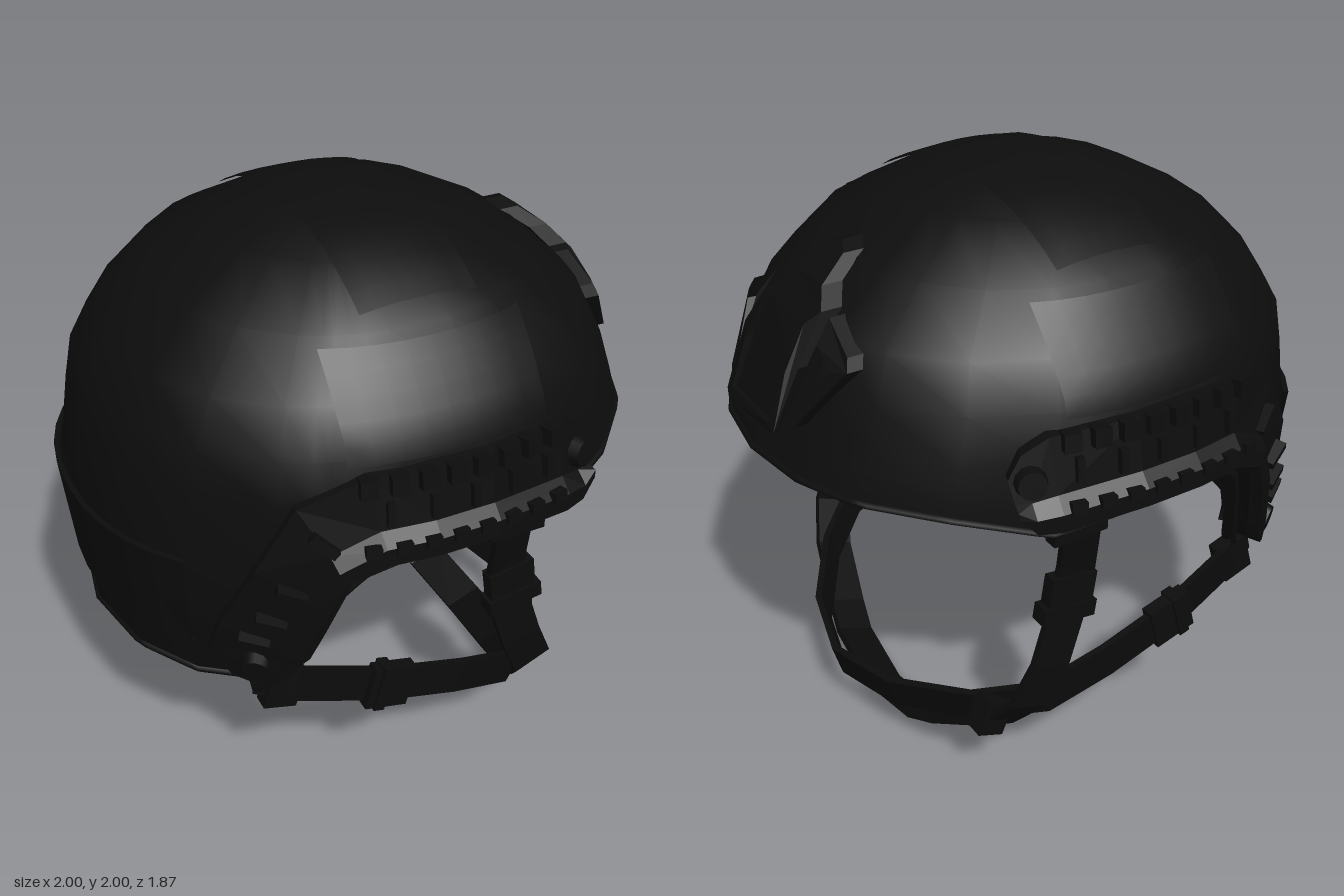
import * as THREE from 'three';

const V = (x, y, z) => new THREE.Vector3(x, y, z);
const mat = (name, color) => {
  const m = new THREE.MeshStandardMaterial({ color, side: THREE.DoubleSide });
  m.name = name;
  return m;
};

// Shell radii by height: front (+x), back (-x) and sides (z), as [y, radius]
const FRONT = [[0.5, 0.99], [1.21, 0.99], [1.35, 0.94], [1.5, 0.88], [1.64, 0.81], [1.75, 0.70], [1.84, 0.57], [1.92, 0.40], [1.98, 0.18], [2, 0]];
const BACK = [[0.5, 0.93], [0.62, 0.935], [0.76, 0.945], [1.13, 0.98], [1.5, 0.9], [1.64, 0.81], [1.75, 0.73], [1.84, 0.59], [1.91, 0.46], [1.98, 0.23], [2, 0]];
const SIDE = [[0.5, 0.70], [0.6, 0.74], [0.7, 0.78], [0.9, 0.82], [1.1, 0.85], [1.2, 0.85], [1.52, 0.82], [1.64, 0.745], [1.8, 0.62], [1.88, 0.49], [1.95, 0.33], [1.98, 0.2], [2, 0]];
// Rim height by angle from the face round to the nape
const RIM = [[0, 1.21], [16, 1.21], [31, 1.2], [51, 1.18], [70, 1.1], [85, 1.13], [100, 1.13], [106, 1.1], [110, 1.03], [114, 0.85], [117, 0.72], [124, 0.61], [142, 0.61], [160, 0.62], [180, 0.62]];
const P = 2.2;

function lerpTable(table, t) {
  if (t <= table[0][0]) return table[0][1];
  for (let i = 1; i < table.length; i++) {
    const [a, va] = table[i - 1], [b, vb] = table[i];
    if (t <= b) return va + (vb - va) * (t - a) / (b - a);
  }
  return table[table.length - 1][1];
}
const radX = (x, y) => lerpTable(x >= 0 ? FRONT : BACK, y);
const radZ = (y) => lerpTable(SIDE, y);
const rest = (t) => Math.pow(Math.max(0, 1 - Math.pow(Math.abs(t), P)), 1 / P);
const zAt = (x, y) => radZ(y) * rest(x / radX(x, y));
const xAt = (y, z) => lerpTable(FRONT, y) * rest(z / radZ(y));

// Point on the shell at an angle, moved outward by off
function polar(deg, y, off = 0) {
  const c = Math.cos(deg * Math.PI / 180), s = Math.sin(deg * Math.PI / 180);
  const pw = (v) => Math.sign(v) * Math.pow(Math.abs(v), 2 / P);
  return V(Math.max(0, radX(c, y) + off) * pw(c), y, Math.max(0, radZ(y) + off) * pw(s));
}

// Outward direction of the shell
function normalAt(p) {
  const f = (x, y, z) => Math.pow(Math.abs(x / radX(x, y)), P) + Math.pow(Math.abs(z / radZ(y)), P);
  const e = 0.02;
  return V(f(p.x + e, p.y, p.z) - f(p.x - e, p.y, p.z), f(p.x, p.y + e, p.z) - f(p.x, p.y - e, p.z),
    f(p.x, p.y, p.z + e) - f(p.x, p.y, p.z - e)).normalize();
}
function onSide(x, y, side, off) {
  const p = V(x, y, side * zAt(x, y));
  return p.addScaledVector(normalAt(p), off);
}

// Surface through rows of points
function grid(rows, flat = false) {
  const n = rows[0].length, pos = [], idx = [];
  rows.forEach((r) => r.forEach((p) => pos.push(p.x, p.y, p.z)));
  for (let i = 0; i < rows.length - 1; i++) for (let j = 0; j < n - 1; j++) {
    const a = i * n + j, b = a + n;
    idx.push(a, b, a + 1, b, b + 1, a + 1);
  }
  let g = new THREE.BufferGeometry();
  g.setAttribute('position', new THREE.Float32BufferAttribute(pos, 3));
  g.setIndex(idx);
  if (flat) g = g.toNonIndexed();
  g.computeVertexNormals();
  return g;
}
const steps = (a, b, n) => Array.from({ length: n + 1 }, (_, i) => a + (b - a) * i / n);

export function createModel() {
  const model = new THREE.Group();
  const shellMat = mat('shell black', 0x0d0d0d);
  const fitMat = mat('fitting black', 0x0c0c0c);
  const strapMat = mat('strap black', 0x0b0b0b);
  const add = (name, geo, m) => {
    const mesh = new THREE.Mesh(geo, m);
    mesh.name = name;
    model.add(mesh);
    return mesh;
  };

  // Shell: outer skin, inner skin, edge and trim
  const cols = [...RIM, ...RIM.slice(0, -1).reverse().map(([d, y]) => [360 - d, y])];
  const upper = [2, 1.98, 1.92, 1.8, 1.64, 1.5, 1.35];
  const skin = (off) => {
    const rows = upper.map((y) => cols.map(([d]) => {
      const p = polar(d, y, off);
      p.y += off;
      return p;
    }));
    for (const t of [0.35, 0.7, 1]) rows.push(cols.map(([d, ry]) => polar(d, 1.35 + (ry - 1.35) * t, off)));
    return rows;
  };
  const outer = skin(0), inner = skin(-0.04);
  add('shell', grid(outer), shellMat);
  add('shellLining', grid(inner), shellMat);
  add('shellEdge', grid([outer.at(-1), inner.at(-1)]), shellMat);
  const rimPath = new THREE.CurvePath();
  const rim = outer.at(-1);
  for (let i = 1; i < rim.length; i++) rimPath.add(new THREE.LineCurve3(rim[i - 1], rim[i]));
  add('rimTrim', new THREE.TubeGeometry(rimPath, 120, 0.012, 6, false), fitMat);

  // Raised band round the nape and padded band inside it
  const band = (name, d0, d1, y0, y1, off, back) => add(name, grid(
    [[y1, back], [y1, off], [(y0 + y1) / 2, off], [y0, off], [y0, back]].map(([y, o]) =>
      steps(d0, d1, 10).map((d) => polar(d, y, o))), true), fitMat);
  band('napeBand', 142, 218, 0.77, 1.13, 0.018, 0);
  band('innerBand', 135, 225, 0.6, 0.74, -0.1, -0.04);

  // Fit dial and its brackets
  const dial = add('fitDial', new THREE.CylinderGeometry(0.11, 0.11, 0.1, 16), fitMat);
  dial.position.set(-0.78, 0.64, 0);
  dial.rotation.z = Math.PI / 2 - 0.15;
  for (const s of [1, -1]) {
    const b = add('dialBracket', new THREE.BoxGeometry(0.04, 0.2, 0.18), fitMat);
    b.position.set(-0.79, 0.69, s * 0.27);
    b.rotation.x = s * 0.25;
  }

  // Fabric panels over the crown and sides
  const topY = (x, z) => {
    let lo = 1.5, hi = 2;
    for (let i = 0; i < 25; i++) {
      const m = (lo + hi) / 2;
      if (radZ(m) > 0 && Math.abs(x) < radX(x, m) && zAt(x, m) > Math.abs(z)) lo = m; else hi = m;
    }
    return lo;
  };
  add('crownPanel', grid(steps(-0.2, 0.2, 6).map((x) =>
    steps(-0.55, 0.55, 16).map((z) => V(x, topY(x, z) + 0.007, z)))), shellMat);
  for (const s of [1, -1]) add('sidePanel', grid(steps(1.48, 1.77, 5).map((y) =>
    steps(-0.35, 0.32, 8).map((x) => onSide(x, y, s, 0.01)))), shellMat);

  // Front mount: outlines in (z, y) bent onto the brow
  const mount = (name, pts, off, hole) => {
    const toVec = (a) => a.map(([x, y]) => new THREE.Vector2(x, y));
    const shape = new THREE.Shape(toVec(pts));
    if (hole) shape.holes.push(new THREE.Path(toVec(hole)));
    const g = new THREE.ExtrudeGeometry(shape, { depth: 1, steps: 1, bevelEnabled: false });
    const p = g.attributes.position;
    for (let i = 0; i < p.count; i++) {
      const z = -p.getX(i), y = p.getY(i);
      p.setXYZ(i, xAt(y, z) + (p.getZ(i) > 0.5 ? off : -0.01), y, z);
    }
    g.computeVertexNormals();
    add(name, g, fitMat);
  };
  mount('mountFrame', [[-0.18, 1.34], [-0.14, 1.32], [0.14, 1.32], [0.18, 1.34], [0.2, 1.55], [0.17, 1.7], [0.1, 1.75], [0.06, 1.82], [0, 1.84], [-0.06, 1.82], [-0.1, 1.75], [-0.17, 1.7], [-0.2, 1.55]], 0.06,
    [[-0.14, 1.36], [0.14, 1.36], [0.15, 1.52], [0.14, 1.66], [-0.14, 1.66], [-0.15, 1.52]]);
  mount('mountPlate', [[-0.15, 1.35], [0.15, 1.35], [0.16, 1.52], [0.15, 1.67], [-0.15, 1.67], [-0.16, 1.52]], 0.045);
  for (const s of [1, -1]) mount('mountWing', [[0.18, 1.36], [0.24, 1.38], [0.36, 1.58], [0.34, 1.62], [0.2, 1.69]].map(([x, y]) => [s * x, y]), 0.045,
    [[0.21, 1.43], [0.31, 1.57], [0.22, 1.62]].map(([x, y]) => [s * x, y]));

  // Side rails, with teeth, slots and screws
  const railTop = [[0.5, 1.32], [0.46, 1.4], [0.38, 1.45], [0.1, 1.46], [-0.1, 1.46], [-0.3, 1.46], [-0.5, 1.37], [-0.62, 1.15], [-0.71, 0.9], [-0.73, 0.76], [-0.66, 0.66]];
  const railLow = [[0.48, 1.2], [0.43, 1.14], [0.36, 1.13], [0.1, 1.15], [-0.1, 1.15], [-0.25, 1.15], [-0.36, 1.1], [-0.4, 1], [-0.46, 0.8], [-0.49, 0.72], [-0.58, 0.64]];
  const section = [[0, -0.01], [0.03, 0.03], [0.6, 0.04], [0.75, 0.075], [0.92, 0.075], [1, 0.04], [1, -0.01]];
  for (const s of [1, -1]) {
    add('sideRail', grid(section.map(([t, off]) => railTop.map(([x, y], i) =>
      onSide(x + (railLow[i][0] - x) * t, y + (railLow[i][1] - y) * t, s, off))), true), fitMat);
    const fit = (name, geo, x, y, off, turn = 0) => {
      const m = add(name, geo, fitMat);
      m.position.copy(onSide(x, y, s, off));
      m.lookAt(m.position.clone().add(normalAt(onSide(x, y, s, 0))));
      m.rotateZ(s * turn);
    };
    for (const x of steps(-0.3, 0.32, 7)) {
      fit('railTooth', new THREE.BoxGeometry(0.055, 0.06, 0.05), x, 1.425, 0.035);
      fit('railLowerTooth', new THREE.BoxGeometry(0.05, 0.035, 0.03), x, 1.225, 0.07);
    }
    for (const x of steps(-0.24, 0.3, 4)) fit('railRib', new THREE.BoxGeometry(0.025, 0.08, 0.03), x, 1.33, 0.04);
    for (const [x, y, a] of [[-0.43, 1.25, -0.7], [-0.52, 1.08, -0.4], [-0.57, 0.95, -0.3], [-0.61, 0.86, -0.25]])
      fit('railRearRib', new THREE.BoxGeometry(0.1, 0.03, 0.05), x, y, 0.04, a);
    for (const [x, y] of [[0.44, 1.31], [-0.6, 0.74]]) {
      const g = new THREE.CylinderGeometry(0.045, 0.055, 0.05, 12).rotateX(Math.PI / 2);
      fit('railScrew', g, x, y, 0.045);
    }
  }

  // Webbing straps: flat ribbons mirrored across the chin
  const ribbon = (name, half, w) => {
    const pts = [...half, ...half.slice(0, -1).reverse().map(([x, y, z]) => [x, y, -z])].map((p) => V(...p));
    const rows = [[], [], [], [], []];
    pts.forEach((p, i) => {
      const t = pts[Math.min(i + 1, pts.length - 1)].clone().sub(pts[Math.max(i - 1, 0)]);
      const n = t.cross(w).normalize().multiplyScalar(0.012);
      [[1, 1], [1, -1], [-1, -1], [-1, 1], [1, 1]].forEach(([a, b], k) =>
        rows[k].push(p.clone().addScaledVector(w, a / 2).addScaledVector(n, b)));
    });
    add(name, grid(rows, true), strapMat);
  };
  ribbon('frontStrap', [[0.25, 1.15, 0.79], [0.25, 0.9, 0.755], [0.28, 0.72, 0.745], [0.34, 0.54, 0.75], [0.41, 0.39, 0.73], [0.47, 0.26, 0.62], [0.53, 0.13, 0.4], [0.56, 0.08, 0.28], [0.585, 0.045, 0]], V(0.135, 0.055, 0));
  ribbon('rearStrap', [[-0.6, 0.63, 0.62], [-0.48, 0.59, 0.67], [-0.18, 0.515, 0.73], [0.1, 0.445, 0.74], [0.33, 0.37, 0.71], [0.51, 0.3, 0.55], [0.68, 0.24, 0.28], [0.75, 0.22, 0]], V(0.035, 0.125, 0));

  // Buckles
  const buckle = (name, size, pos, turn) => {
    const m = add(name, new THREE.BoxGeometry(...size), fitMat);
    m.position.set(...pos);
    m.rotation.z = turn;
  };
  for (const s of [1, -1]) {
    buckle('strapAnchor', [0.2, 0.06, 0.05], [0.26, 1.07, s * 0.77], 0);
    buckle('frontBuckle', [0.17, 0.17, 0.05], [0.275, 0.8, s * 0.75], 0.15);
    buckle('frontBuckleBar', [0.2, 0.06, 0.065], [0.285, 0.75, s * 0.75], 0.15);
    buckle('rearBuckle', [0.16, 0.16, 0.05], [-0.17, 0.51, s * 0.73], -0.26);
    buckle('rearBuckleBar', [0.04, 0.17, 0.07], [-0.2, 0.52, s * 0.73], -0.26);
    buckle('rearAnchor', [0.12, 0.15, 0.06], [-0.52, 0.58, s * 0.64], -0.3);
  }
  buckle('chinClasp', [0.1, 0.13, 0.08], [0.49, 0.31, -0.62], 0.4);

  return model;
}
